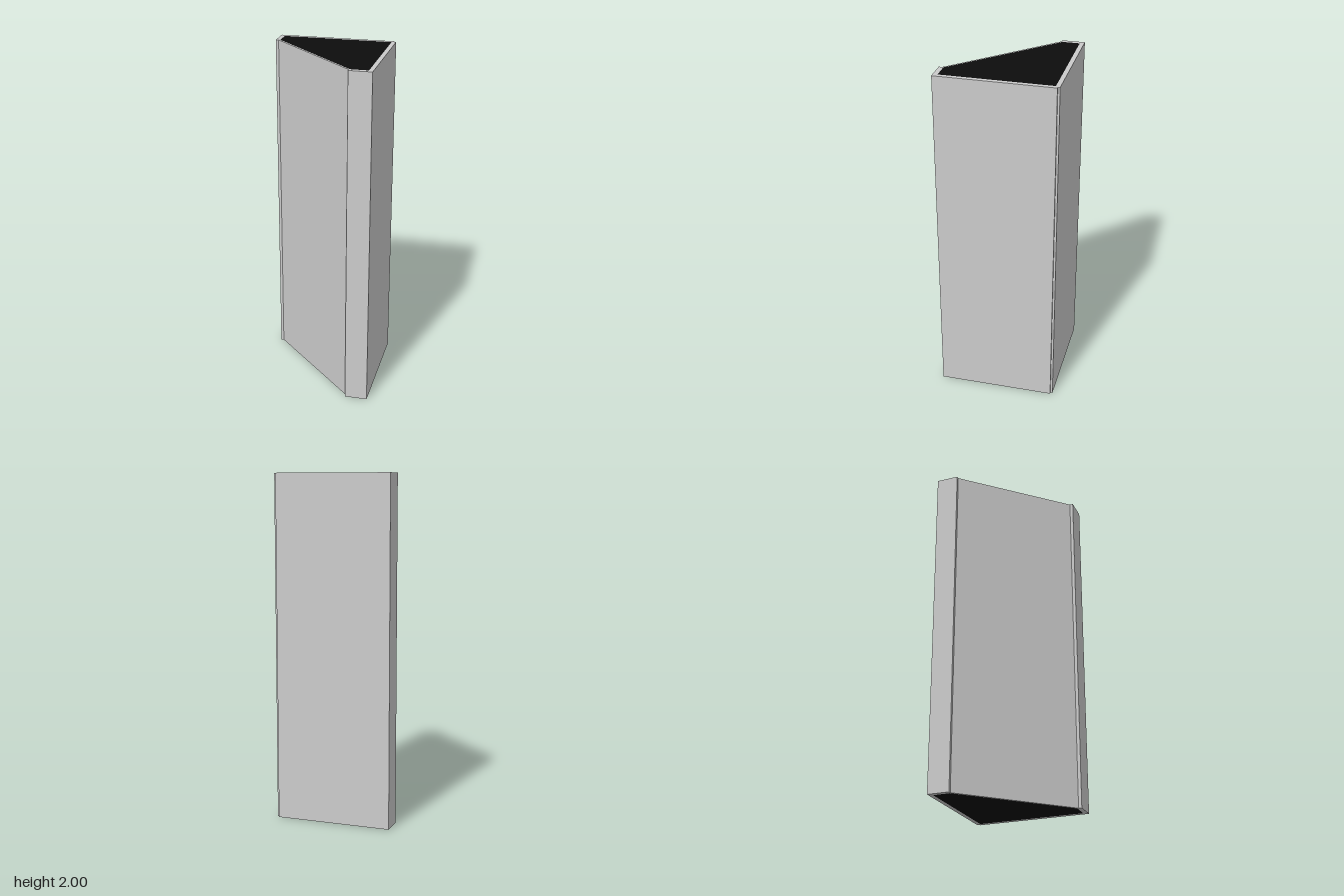
import * as THREE from 'three';

const HEIGHT = 2;

// Upright prism from a plan outline given as [x, z] corners
function prism(name, plan, color) {
  const shape = new THREE.Shape(plan.map(([x, z]) => new THREE.Vector2(x, -z)));
  const geometry = new THREE.ExtrudeGeometry(shape, { depth: HEIGHT, bevelEnabled: false });
  geometry.rotateX(-Math.PI / 2);
  const mesh = new THREE.Mesh(geometry, new THREE.MeshStandardMaterial({ color, flatShading: true }));
  mesh.name = name;
  return mesh;
}

export function createModel() {
  const group = new THREE.Group();
  group.name = 'cornerColumn';
  const grey = 0xcccccc;

  // Back panel with its short return, stopping just shy of the outer corner
  group.add(prism('backPanel', [
    [-0.345, -0.345], [0.333, -0.345], [0.333, -0.333], [0.32, -0.333],
    [0.32, -0.32], [-0.32, -0.32], [-0.32, -0.215], [-0.345, -0.215],
  ], grey));

  // Side panel with its short front return
  group.add(prism('sidePanel', [
    [0.32, -0.333], [0.345, -0.333], [0.345, 0.345], [0.213, 0.345],
    [0.213, 0.318], [0.32, 0.318],
  ], grey));

  // Thin diagonal face between the two returns
  group.add(prism('diagonalPanel', [
    [-0.328, -0.215], [-0.32, -0.215], [-0.32, -0.222],
    [0.218, 0.318], [0.213, 0.318], [0.213, 0.326],
  ], grey));

  // Dark core filling the column
  group.add(prism('core', [
    [-0.32, -0.32], [0.32, -0.32], [0.32, 0.318], [0.218, 0.318], [-0.32, -0.222],
  ], 0x0d0d0d));

  return group;
}
